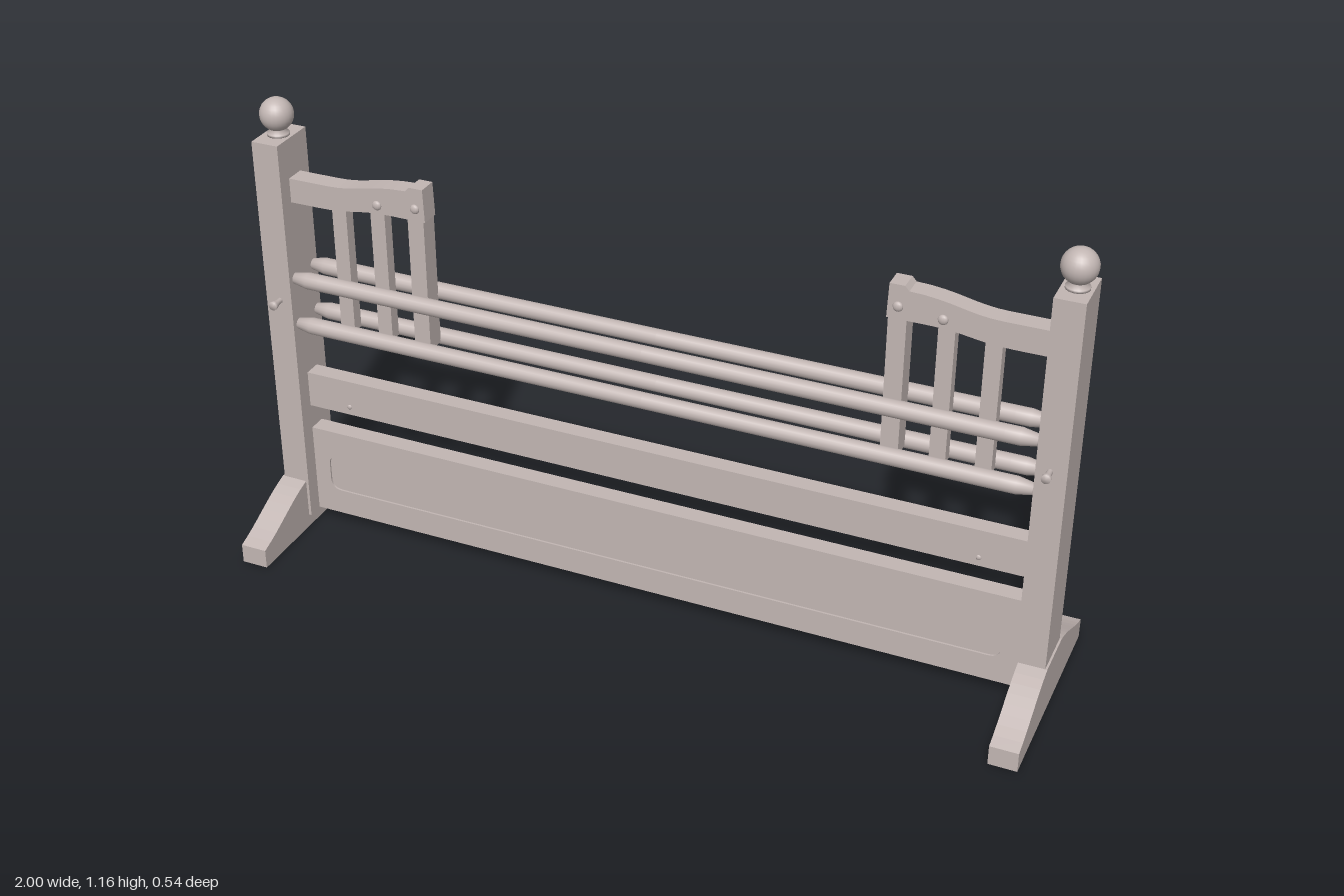
import * as THREE from 'three';

export function createModel() {
  const root = new THREE.Group();
  const wood = new THREE.MeshStandardMaterial({ color: 0xc2b6b3 });
  wood.name = 'pale greyed wood';

  const add = (parent, name, geometry, x = 0, y = 0, z = 0) => {
    const mesh = new THREE.Mesh(geometry, wood);
    mesh.name = name;
    mesh.position.set(x, y, z);
    parent.add(mesh);
    return mesh;
  };
  const box = (parent, name, x0, x1, y0, y1, depth) =>
    add(parent, name, new THREE.BoxGeometry(x1 - x0, y1 - y0, depth), (x0 + x1) / 2, (y0 + y1) / 2);
  const extrude = (shape, depth) =>
    new THREE.ExtrudeGeometry(shape, { depth, bevelEnabled: false, curveSegments: 8 }).translate(0, 0, -depth / 2);
  const profile = (points) => points.map(([r, y]) => new THREE.Vector2(r, y));

  // Foot: long base with concave slopes up to the post
  const foot = new THREE.Shape();
  foot.moveTo(-0.27, 0);
  foot.lineTo(0.27, 0);
  foot.lineTo(0.27, 0.05);
  foot.bezierCurveTo(0.19, 0.075, 0.14, 0.115, 0.063, 0.135);
  foot.lineTo(-0.063, 0.135);
  foot.bezierCurveTo(-0.14, 0.115, -0.19, 0.075, -0.27, 0.05);
  foot.closePath();

  // Curved top rail of a wing, rising toward its free end
  const wingRail = new THREE.Shape();
  wingRail.moveTo(0.93, 0.905);
  wingRail.lineTo(0.93, 0.967);
  wingRail.lineTo(0.82, 0.967);
  wingRail.bezierCurveTo(0.74, 0.967, 0.71, 0.992, 0.61, 0.994);
  wingRail.lineTo(0.6, 1.005);
  wingRail.lineTo(0.565, 1.005);
  wingRail.lineTo(0.562, 0.922);
  wingRail.lineTo(0.66, 0.922);
  wingRail.bezierCurveTo(0.74, 0.922, 0.76, 0.905, 0.85, 0.905);
  wingRail.closePath();

  const ballNeck = new THREE.LatheGeometry(
    profile([[0, 0], [0.027, 0], [0.027, 0.006], [0.018, 0.013], [0.022, 0.024]]), 20);
  const pin = new THREE.LatheGeometry(
    profile([[0.007, 0.06], [0.007, 0.078], [0.011, 0.09], [0.011, 0.098], [0, 0.098]]), 12).rotateX(Math.PI / 2);
  const screw = new THREE.SphereGeometry(0.012, 12, 8).scale(1, 1, 0.6);

  for (const side of [-1, 1]) {
    const end = new THREE.Group();
    end.name = side > 0 ? 'leftStand' : 'rightStand';
    root.add(end);

    // Post, foot and ball finial
    box(end, 'post', side * 0.96 - 0.035, side * 0.96 + 0.035, 0.033, 1.065, 0.126);
    add(end, 'foot', extrude(foot, 0.068).rotateY(Math.PI / 2), side * 0.966);
    add(end, 'finialNeck', ballNeck, side * 0.96, 1.065);
    add(end, 'finialBall', new THREE.SphereGeometry(0.041, 24, 16), side * 0.96, 1.117);

    // Pins through the post
    for (const face of [0, Math.PI]) add(end, 'postPin', pin, side * 0.957, 0.652).rotation.y = face;

    // Wing with three pickets and a shaped rail
    const rail = add(end, 'wingRail', extrude(wingRail, 0.05));
    if (side < 0) rail.rotation.y = Math.PI;
    [[0.587, 0.042, 0.05], [0.695, 0.038, 0.03], [0.8, 0.038, 0.03]].forEach(([x, w, d]) =>
      box(end, 'picket', side * x - w / 2, side * x + w / 2, 0.58, 0.93, d));
    for (const z of [-0.026, 0.026]) {
      add(end, 'wingScrew', screw, side * 0.587, 0.953, z);
      add(end, 'wingScrew', screw, side * 0.688, 0.943, z);
    }
  }

  // Round poles with tapered ends
  const pole = new THREE.LatheGeometry(profile([[0, -0.922], [0.014, -0.922], [0.021, -0.885], [0.021, -0.85],
    [0.02, 0], [0.021, 0.85], [0.021, 0.885], [0.014, 0.922], [0, 0.922]]), 16).rotateZ(-Math.PI / 2);
  for (const y of [0.71, 0.586]) for (const z of [-0.043, 0.041]) add(root, 'pole', pole, 0, y, z);

  // Middle plank with small screws
  box(root, 'middlePlank', -0.928, 0.928, 0.34, 0.435, 0.044);
  for (const x of [-0.81, 0.81]) for (const z of [-0.021, 0.021])
    add(root, 'plankScrew', new THREE.SphereGeometry(0.007, 10, 6).scale(1, 1, 0.6), x, 0.362, z);

  // Bottom board with a shallow rounded recess on both faces
  const rect = (path, x, y0, y1, r) => {
    path.moveTo(-x + r, y0);
    path.lineTo(x - r, y0);
    path.quadraticCurveTo(x, y0, x, y0 + r);
    path.lineTo(x, y1 - r);
    path.quadraticCurveTo(x, y1, x - r, y1);
    path.lineTo(-x + r, y1);
    path.quadraticCurveTo(-x, y1, -x, y1 - r);
    path.lineTo(-x, y0 + r);
    path.quadraticCurveTo(-x, y0, -x + r, y0);
    return path;
  };
  const frame = new THREE.Shape();
  frame.moveTo(-0.928, 0.035);
  frame.lineTo(0.928, 0.035);
  frame.lineTo(0.928, 0.275);
  frame.lineTo(-0.928, 0.275);
  frame.closePath();
  frame.holes.push(rect(new THREE.Path(), 0.882, 0.103, 0.205, 0.03));
  add(root, 'bottomBoardFrame', extrude(frame, 0.046));
  box(root, 'bottomBoardPanel', -0.89, 0.89, 0.095, 0.213, 0.036);

  return root;
}
